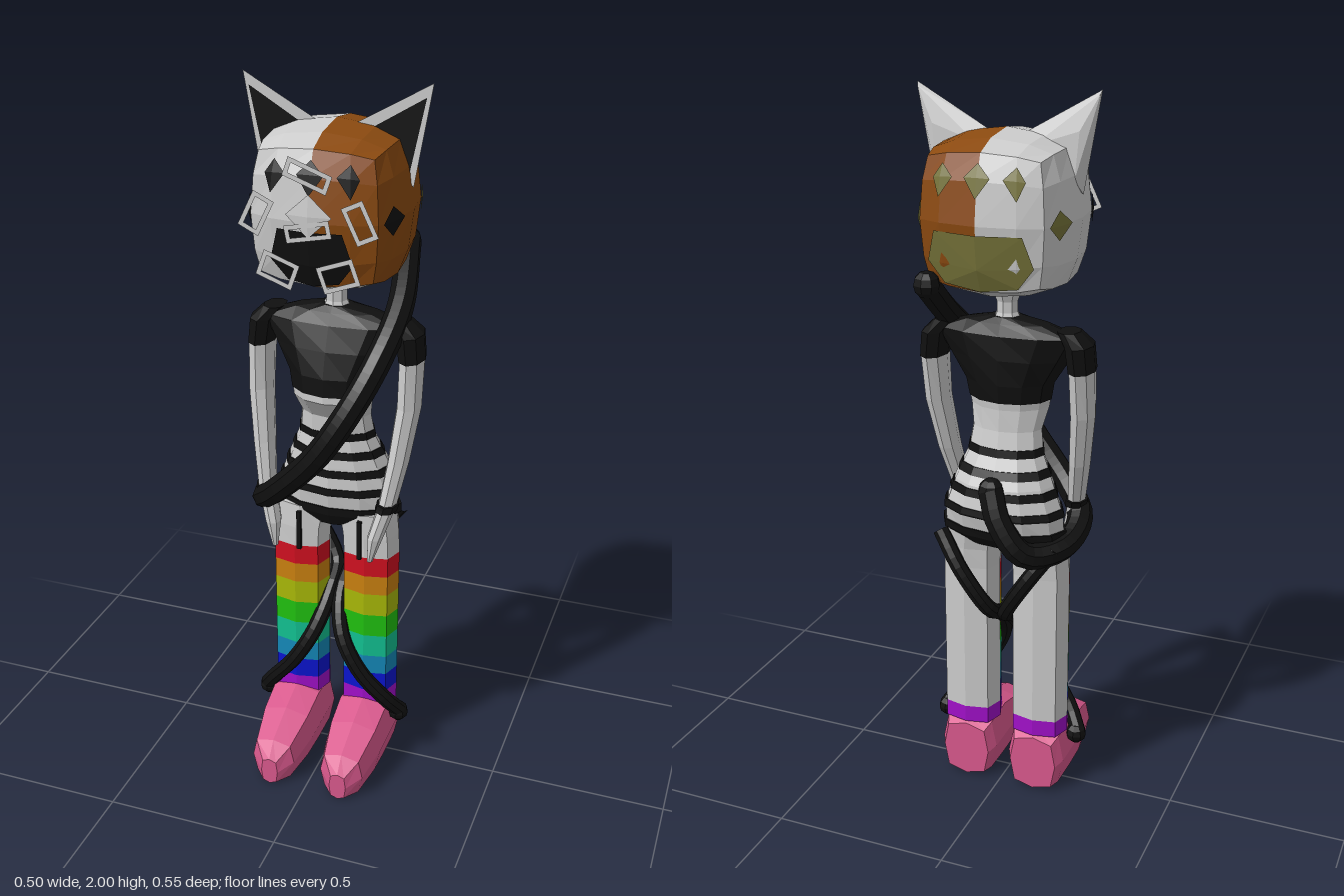
import * as THREE from 'three';
import { ConvexGeometry } from 'three/addons/geometries/ConvexGeometry.js';

const mat = (color, side = THREE.FrontSide) =>
  new THREE.MeshStandardMaterial({ color, flatShading: true, side });
const GREY = mat(0xcccccc), BLACK = mat(0x101010), BROWN = mat(0x8b4a10), PINK = mat(0xd8588c);
const flat = (c) => mat(c, THREE.DoubleSide);
const FLAT_BLACK = flat(0x101010), FLAT_OLIVE = flat(0x77743a), FLAT_GREY = flat(0xcccccc);

// Closed or partial shell through rings [y, x, z, rx, rz], listed bottom to top
function loft(rings, sides = 10, power = 1, a0 = 0, a1 = Math.PI * 2) {
  const pos = [], idx = [], w = sides + 1;
  const bend = (v) => Math.sign(v) * Math.abs(v) ** power;
  for (const [y, x, z, rx, rz] of rings)
    for (let i = 0; i <= sides; i++) {
      const a = a0 + ((a1 - a0) * i) / sides;
      pos.push(x + rx * bend(Math.cos(a)), y, z + rz * bend(Math.sin(a)));
    }
  for (let r = 0; r < rings.length - 1; r++)
    for (let i = 0; i < sides; i++) {
      const a = r * w + i, b = a + 1, d = a + w, c = d + 1;
      idx.push(a, d, c, a, c, b);
    }
  if (a1 - a0 > 6)
    [0, rings.length - 1].forEach((r) => {
      const [y, x, z] = rings[r], m = pos.length / 3;
      pos.push(x, y, z);
      for (let i = 0; i < sides; i++)
        idx.push(m, ...(r ? [r * w + i + 1, r * w + i] : [i, i + 1]));
    });
  const g = new THREE.BufferGeometry();
  g.setAttribute('position', new THREE.Float32BufferAttribute(pos, 3));
  g.setIndex(idx);
  g.computeVertexNormals();
  return g;
}

// Ring of a profile at height y
function ringAt(rings, y, grow = 1) {
  let i = 0;
  while (i < rings.length - 2 && rings[i + 1][0] < y) i++;
  const a = rings[i], b = rings[i + 1], t = (y - a[0]) / (b[0] - a[0]);
  const r = a.map((v, k) => v + (b[k] - v) * t);
  return [y, r[1], r[2], r[3] * grow, r[4] * grow];
}
const cut = (rings, lo, hi, grow) => [ringAt(rings, lo, grow),
  ...rings.filter((r) => r[0] > lo + 1e-4 && r[0] < hi - 1e-4).map((r) => ringAt(rings, r[0], grow)), ringAt(rings, hi, grow)];

const tube = (pts, r, n) => new THREE.TubeGeometry(
  new THREE.CatmullRomCurve3(pts.map((p) => new THREE.Vector3(...p))), n, r, 8);

// Rounded-cube mapping of the head
function headNode(x, y, z) {
  const [u, v, w] = [x, y, z].map((t) => (Math.abs(t) <= 0.5 ? t * 1.24 : Math.sign(t) * (0.24 + 0.76 * Math.abs(t))));
  const f = (a, b, c) => a * (0.35 + 0.65 * Math.sqrt(1 - b * b / 2 - c * c / 2 + b * b * c * c / 3));
  return new THREE.Vector3(0.207 * f(u, v, w), 1.685 + 0.215 * f(v, u, w), -0.022 + 0.213 * f(w, u, v));
}
// Point on the faceted head; the face is 'front', 'back', 'left' or 'right'
function headPoint(face, u, v, lift = 0.006) {
  const node = (p, q) => ({ front: () => headNode(p, q, 1), back: () => headNode(p, q, -1),
    left: () => headNode(1, q, p), right: () => headNode(-1, q, p) })[face]();
  const cell = (t) => Math.min(0.5, Math.max(-1, Math.floor(t * 2) / 2));
  const p = cell(u), q = cell(v), s = (u - p) * 2, t = (v - q) * 2;
  const out = node(p, q).lerp(node(p + 0.5, q), s).lerp(node(p, q + 0.5).lerp(node(p + 0.5, q + 0.5), s), t);
  const dir = out.clone().sub(new THREE.Vector3(0, 1.685, -0.022)).normalize();
  return out.addScaledVector(dir, lift);
}
// Patch on the head, fanned around its centre
function patch(face, centre, outline, lift) {
  const pts = [];
  outline.forEach((p, i) => {
    const n = outline[(i + 1) % outline.length];
    pts.push(headPoint(face, ...centre, lift), headPoint(face, ...p, lift), headPoint(face, ...n, lift));
  });
  const g = new THREE.BufferGeometry().setFromPoints(pts);
  g.computeVertexNormals();
  return g;
}
const diamond = (face, u, v, a, b, lift) =>
  patch(face, [u, v], [[u + a, v], [u, v + b], [u - a, v], [u, v - b]], lift);

// Keep only the triangles whose centre passes a test
function pick(geo, test) {
  const p = geo.toNonIndexed().attributes.position, out = [];
  for (let i = 0; i < p.count; i += 3) {
    const t = [0, 1, 2].map((k) => new THREE.Vector3().fromBufferAttribute(p, i + k));
    if (test(t[0].clone().add(t[1]).add(t[2]).divideScalar(3))) out.push(...t);
  }
  const g = new THREE.BufferGeometry().setFromPoints(out);
  g.computeVertexNormals();
  return g;
}

export function createModel() {
  const model = new THREE.Group();
  const add = (name, geo, material) => {
    const m = new THREE.Mesh(geo, material);
    m.name = name;
    model.add(m);
    return m;
  };

  // Two-tone head
  const head = new THREE.BoxGeometry(2, 2, 2, 4, 4, 4), hp = head.attributes.position;
  for (let i = 0; i < hp.count; i++) hp.setXYZ(i, ...headNode(hp.getX(i), hp.getY(i), hp.getZ(i)));
  const isBrown = (c) => c.x > 0 && c.y > 1.527;
  add('headBrownHalf', pick(head, isBrown), BROWN);
  add('headPaleHalf', pick(head, (c) => !isBrown(c)), GREY);

  // Face and fur markings
  const half = [[0, -0.1], [0.4, -0.1], [0.55, -0.5], [0.35, -0.9], [0, -0.95]];
  const muzzle = [...half, ...half.slice(1, -1).reverse().map(([u, v]) => [-u, v])];
  add('muzzle', patch('front', [0, -0.5], muzzle), FLAT_BLACK);
  add('nosePatch', diamond('front', 0, 0.08, 0.28, 0.24, 0.008), FLAT_GREY);
  add('napePatch', patch('back', [0, -0.5], muzzle.map(([u, v]) => [u * 1.5, v])), FLAT_OLIVE);
  for (const u of [-0.5, 0, 0.5]) {
    add('foreheadSpot', diamond('front', u, 0.55, 0.17, 0.25), FLAT_BLACK);
    add('backSpot', diamond('back', u, 0.55, 0.17, 0.25), FLAT_OLIVE);
  }
  for (const side of ['left', 'right']) {
    add('cheekSpot', diamond(side, 0.6, 0, 0.28, 0.18), FLAT_BLACK);
    add('sideSpot', diamond(side, -0.6, 0, 0.28, 0.18), FLAT_OLIVE);
  }

  // Flat frames floating before the face: x, y, width, height, turn
  const frames = [[0, 1.805, 0.12, 0.05, -0.35], [0, 1.665, 0.12, 0.045, 0.2]];
  for (const s of [-1, 1]) frames.push([s * 0.135, 1.7, 0.06, 0.1, s * 0.45], [s * 0.08, 1.56, 0.1, 0.07, s * 0.35]);
  for (const [x, y, w, h, turn] of frames) {
    const rect = (k) => [[-1, -1], [1, -1], [1, 1], [-1, 1]].map(([a, b]) =>
      new THREE.Vector2(a * (w / 2 - k), b * (h / 2 - k)));
    const shape = new THREE.Shape(rect(0));
    shape.holes.push(new THREE.Path(rect(0.012)));
    const m = add('faceFrame', new THREE.ShapeGeometry(shape), FLAT_GREY);
    m.position.set(x, y, 0.196);
    m.rotation.z = turn;
  }

  // Torso, cropped top, stripes and briefs
  const torso = [[0.76, 0, -0.035, 0.13, 0.06], [0.8, 0, -0.045, 0.178, 0.09], [0.87, 0, -0.05, 0.175, 0.105],
    [0.95, 0, -0.045, 0.145, 0.095], [1.03, 0, -0.03, 0.11, 0.07], [1.1, 0, -0.02, 0.1, 0.065],
    [1.16, 0, 0.005, 0.112, 0.088], [1.23, 0, 0, 0.125, 0.09], [1.3, 0, -0.01, 0.17, 0.08],
    [1.365, 0, -0.02, 0.21, 0.065], [1.395, 0, -0.022, 0.12, 0.05], [1.41, 0, -0.022, 0.04, 0.035]];
  add('torso', loft(cut(torso, 0.76, 1.18), 12), GREY);
  add('croppedTop', loft(cut(torso, 1.18, 1.41, 1.02), 12), BLACK);
  for (const y of [0.865, 0.92, 0.975, 1.03])
    add('stripe', loft(cut(torso, y, y + 0.022, 1.025), 12), BLACK);
  add('briefs', loft(cut(torso, 0.762, 0.825, 1.04), 12), BLACK);
  add('neck', loft([[1.39, 0, -0.022, 0.045, 0.04], [1.42, 0, -0.022, 0.03, 0.03],
    [1.45, 0, -0.022, 0.03, 0.03], [1.49, 0, -0.022, 0.045, 0.045]], 8), GREY);

  const rainbow = [0xa010c8, 0x0a14d0, 0x1488b8, 0x12c090, 0x20c010, 0xa8b808, 0xc88010, 0xd01020];
  const bands = [0.18, 0.23, 0.29, 0.35, 0.42, 0.49, 0.56, 0.62, 0.68];
  for (const s of [-1, 1]) {
    // Arm with sleeve and wristband
    const arm = [[0.71, 0.14, 0.1, 0.008, 0.01], [0.78, 0.15, 0.085, 0.022, 0.028], [0.87, 0.175, 0.06, 0.025, 0.033],
      [1.0, 0.195, 0.025, 0.03, 0.043], [1.15, 0.212, -0.005, 0.034, 0.05], [1.28, 0.213, -0.02, 0.034, 0.06],
      [1.35, 0.205, -0.022, 0.036, 0.06], [1.385, 0.175, -0.022, 0.03, 0.04]].map(([y, x, ...r]) => [y, s * x, ...r]);
    add('arm', loft(cut(arm, 0.71, 1.28), 8), GREY);
    add('sleeve', loft(cut(arm, 1.28, 1.385, 1.06), 8), BLACK);
    add('wristband', loft(cut(arm, 0.86, 0.88, 1.25), 8), BLACK);

    // Leg: striped stocking in front, plain behind
    const leg = [0.18, 0.68].map((y) => [y, s * 0.105, -0.025, 0.083, 0.068]);
    add('thigh', loft([leg[1], [0.74, s * 0.102, -0.027, 0.083, 0.07], [0.81, s * 0.09, -0.035, 0.085, 0.075]], 8, 0.7), GREY);
    add('legBack', loft(cut(leg, 0.23, 0.68), 4, 0.7, Math.PI, Math.PI * 2), GREY);
    rainbow.forEach((c, i) => add('stockingBand',
      loft(cut(leg, bands[i], bands[i + 1]), i ? 4 : 8, 0.7, 0, i ? Math.PI : Math.PI * 2), mat(c)));
    const garter = add('garter', new THREE.BoxGeometry(0.012, 0.12, 0.012), BLACK);
    garter.position.set(s * 0.09, 0.735, 0.044);

    // Shoe, built along its length: z, half width, height
    const shoe = [[-0.09, 0.07, 0.17], [-0.06, 0.085, 0.19], [0.04, 0.087, 0.2], [0.13, 0.083, 0.172],
      [0.235, 0.064, 0.13], [0.27, 0.025, 0.085]];
    add('shoe', loft(shoe.map(([z, w, h]) => [z, s * 0.105, -h / 2, w, h / 2]), 8, 0.6).rotateX(Math.PI / 2), PINK);

    // Ribbon from hip, between the legs, out to the ankle
    const path = [[0.17, 0.79, -0.1], [0.1, 0.69, -0.125], [0.025, 0.57, -0.1], [0.015, 0.52, -0.02],
      [0.04, 0.42, 0.05], [0.1, 0.31, 0.065], [0.17, 0.22, 0.045], [0.21, 0.16, 0.01]];
    add('legRibbon', tube(path.map(([x, y, z]) => [s * x, y, z]), 0.023, 28), BLACK);
    const tip = add('ribbonTip', new THREE.SphereGeometry(0.03, 8, 6), BLACK);
    tip.position.set(s * 0.205, 0.155, 0.008);

    // Ear with dark inner face
    const ear = [[0.035, 1.88], [0.25, 2.0], [0.205, 1.74]];
    const back = [[0.08, 1.86, -0.042], [0.19, 1.78, -0.045], [0.2, 1.9, -0.042], [0.247, 1.99, -0.025]];
    add('ear', new ConvexGeometry([...ear.map(([x, y]) => [x, y, -0.017]), ...back]
      .map(([x, y, z]) => new THREE.Vector3(s * x, y, z))), GREY);
    const inner = [[0.075, 1.87], [0.234, 1.965], [0.195, 1.78]].map(([x, y]) => new THREE.Vector2(s * x, y));
    add('innerEar', new THREE.ShapeGeometry(new THREE.Shape(inner)), FLAT_BLACK).position.z = -0.014;
  }

  // Long tail wrapping the hip, chest and shoulder
  const tail = [[0, 0.95, -0.14], [-0.03, 0.87, -0.16], [-0.1, 0.78, -0.15], [-0.18, 0.78, -0.06], [-0.19, 0.83, 0.05],
    [-0.13, 0.89, 0.115], [0, 1.03, 0.16], [0.09, 1.17, 0.155], [0.15, 1.3, 0.09], [0.17, 1.41, -0.04], [0.13, 1.53, -0.24]];
  add('tail', tube(tail, 0.036, 60), BLACK);
  for (const end of [tail[0], tail.at(-1)])
    add('tailEnd', new THREE.SphereGeometry(0.036, 8, 6), BLACK).position.set(...end);
  return model;
}
